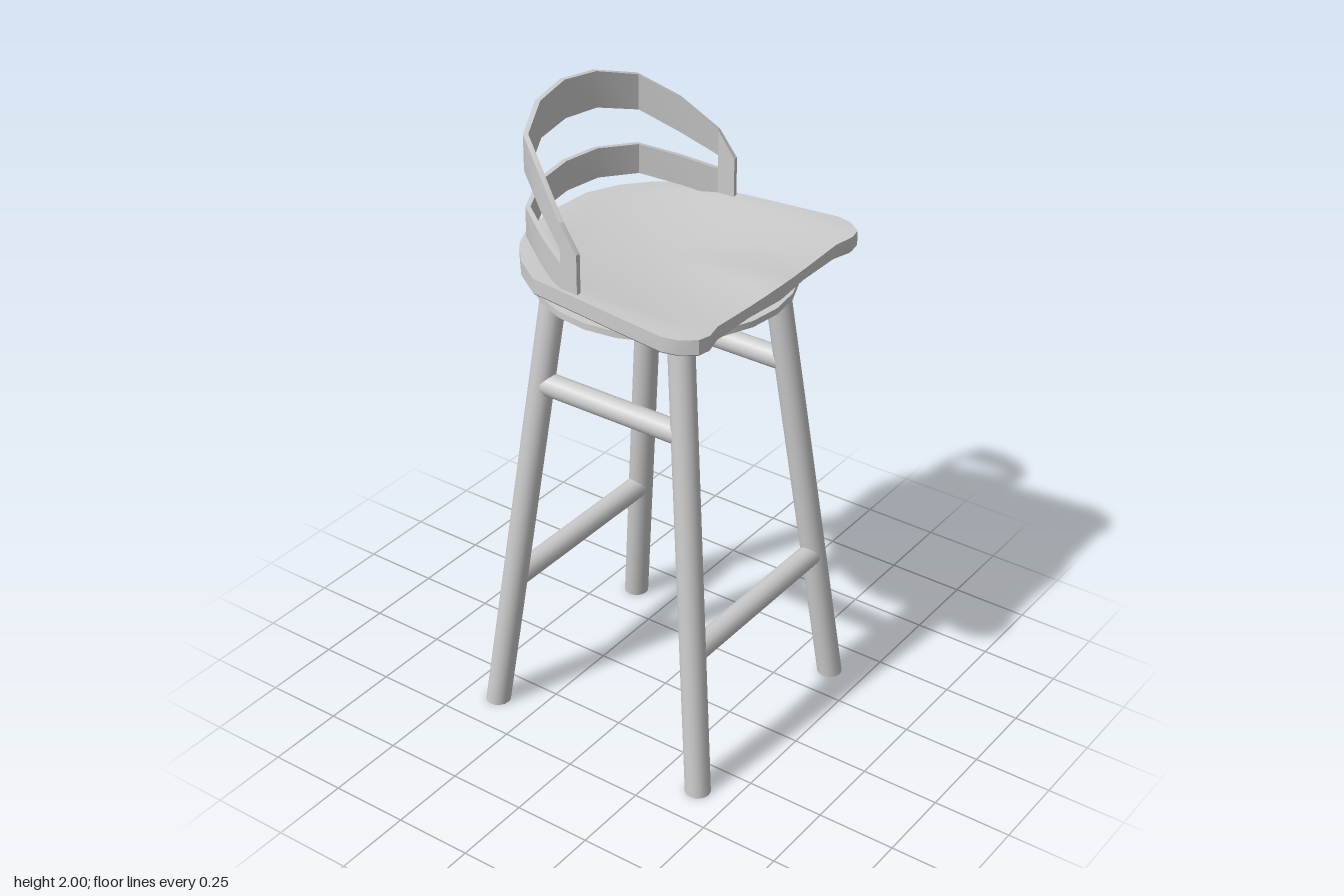
import * as THREE from 'three';
import { toCreasedNormals } from 'three/addons/utils/BufferGeometryUtils.js';

const material = new THREE.MeshStandardMaterial({ color: 0xcccccc });

function add(group, name, geometry) {
  const mesh = new THREE.Mesh(geometry, material);
  mesh.name = name;
  group.add(mesh);
  return mesh;
}

// Joins closed rings of [x, y, z] points (counter-clockwise about the travel direction) and caps both ends
function loft(rings, crease = 0.6) {
  const n = rings[0].length;
  const index = [];
  for (let k = 0; k < rings.length - 1; k++) {
    for (let i = 0; i < n; i++) {
      const a = k * n + i, b = k * n + (i + 1) % n;
      index.push(a, b, b + n, a, b + n, a + n);
    }
  }
  const last = (rings.length - 1) * n;
  for (let i = 1; i < n - 1; i++) {
    index.push(0, i + 1, i, last, last + i, last + i + 1);
  }
  const g = new THREE.BufferGeometry();
  g.setAttribute('position', new THREE.Float32BufferAttribute(rings.flat(2), 3));
  g.setIndex(index);
  return toCreasedNormals(g, crease);
}

// Half of a mirrored [x, z] outline completed on the other side
const mirrored = (half, closed) => {
  const other = half.slice(closed ? 1 : 0, -1).reverse();
  return [...half, ...other.map(([x, ...rest]) => [-x, ...rest])];
};

// Dished seat surface with a soft ridge towards the front
function seatHeight(x, z) {
  const u = Math.min(1, Math.hypot(x / 0.38, Math.min(z, 0) / 0.345));
  const front = THREE.MathUtils.smoothstep(z, 0, 0.4);
  const ridge = 0.015 * front * Math.exp(-((x / 0.09) ** 2));
  return 1.578 - 0.032 * (1 - u * u) * (1 - 0.45 * front) + ridge;
}

function seatGeometry() {
  const outline = mirrored([
    [0, 0.405], [0.07, 0.398], [0.14, 0.391], [0.3, 0.391], [0.36, 0.408], [0.4, 0.4],
    [0.434, 0.355], [0.445, 0.305], [0.424, 0.13], [0.402, -0.04], [0.385, -0.18],
    [0.32, -0.275], [0.24, -0.345], [0.14, -0.393], [0, -0.402],
  ], true);
  const ring = (t, height) => outline.map(([x, z]) => [x * t, height(x * t, z * t), z * t]);
  const bottom = () => 1.525;
  return loft([
    ring(0.02, bottom), ring(0.985, bottom), ring(1, () => 1.532),
    ...[1, 0.93, 0.86, 0.76, 0.64, 0.5, 0.34, 0.18, 0.02].map((t) => ring(t, seatHeight)),
  ]);
}

// Curved backrest: two bands joined by a short post at each end
function addBackrest(group) {
  // [x, z, top height] along the outer face
  const path = mirrored([
    [0.39, -0.02, 1.7], [0.386, -0.08, 1.78], [0.335, -0.185, 1.875],
    [0.268, -0.295, 1.945], [0.135, -0.355, 1.985], [0, -0.37, 2],
  ], false);
  const along = (z, y0, y1) => THREE.MathUtils.mapLinear(z, -0.08, -0.37, y0, y1);
  const stations = path.map(([x, z, top], i) => {
    const a = path[Math.max(i - 1, 0)], b = path[Math.min(i + 1, path.length - 1)];
    const dx = b[0] - a[0], dz = b[1] - a[1], len = Math.hypot(dx, dz);
    return {
      x, z, top,
      ix: x + 0.015 * dz / len, iz: z - 0.015 * dx / len,
      bottom: Math.max(1.56, along(z, 1.562, 1.65)),
      slotLow: along(z, 1.655, 1.745),
      slotHigh: along(z, 1.7, 1.88),
    };
  });
  const band = (list, low, high) => loft(list.map((s) => [
    [s.ix, s[low], s.iz], [s.ix, s[high], s.iz], [s.x, s[high], s.z], [s.x, s[low], s.z],
  ]));
  const inner = stations.slice(1, -1);
  add(group, 'lowerBackBand', band(inner, 'bottom', 'slotLow'));
  add(group, 'upperBackBand', band(inner, 'slotHigh', 'top'));
  add(group, 'leftBackPost', band(stations.slice(0, 2), 'bottom', 'top'));
  add(group, 'rightBackPost', band(stations.slice(-2), 'bottom', 'top'));
}

// Splayed leg axis: offset from the centre at height y
const LEG_TOP = 1.475;
const legX = (y) => 0.37 - 0.135 * y / LEG_TOP;
const legZ = (y) => 0.388 - 0.166 * y / LEG_TOP;

function legGeometry(sx, sz) {
  const g = new THREE.CylinderGeometry(0.04, 0.04, LEG_TOP, 16);
  g.translate(0, LEG_TOP / 2, 0);
  const p = g.attributes.position;
  for (let i = 0; i < p.count; i++) {
    const y = p.getY(i);
    p.setXYZ(i, p.getX(i) + sx * legX(y), y, p.getZ(i) + sz * legZ(y));
  }
  g.computeVertexNormals();
  return toCreasedNormals(g, 0.6);
}

export function createModel() {
  const model = new THREE.Group();
  model.name = 'barStool';

  add(model, 'seat', seatGeometry());
  const backrest = new THREE.Group();
  backrest.name = 'backrest';
  addBackrest(backrest);
  model.add(backrest);

  // Mounting discs beneath the seat
  add(model, 'spacerDisc', new THREE.CylinderGeometry(0.286, 0.286, 0.034, 24)).position.y = 1.511;
  add(model, 'basePlate', new THREE.CylinderGeometry(0.388, 0.388, 0.02, 24)).position.y = 1.485;

  // Legs with small collars
  for (const sx of [1, -1]) {
    for (const sz of [1, -1]) {
      const name = (sz > 0 ? 'front' : 'back') + (sx > 0 ? 'Left' : 'Right');
      add(model, name + 'Leg', legGeometry(sx, sz));
      add(model, name + 'Collar', new THREE.CylinderGeometry(0.048, 0.048, 0.012, 16))
        .position.set(sx * legX(1.47), 1.47, sz * legZ(1.47));
    }
  }

  // Low rails at front and back, high rails at the sides
  for (const s of [1, -1]) {
    const low = add(model, s > 0 ? 'frontFootRail' : 'backFootRail',
      new THREE.CylinderGeometry(0.036, 0.036, 2 * legX(0.465), 16).rotateZ(Math.PI / 2));
    low.position.set(0, 0.465, s * legZ(0.465));
    const high = add(model, s > 0 ? 'leftSideRail' : 'rightSideRail',
      new THREE.CylinderGeometry(0.036, 0.036, 2 * legZ(1.16), 16).rotateX(Math.PI / 2));
    high.position.set(s * legX(1.16), 1.16, 0);
  }
  return model;
}
